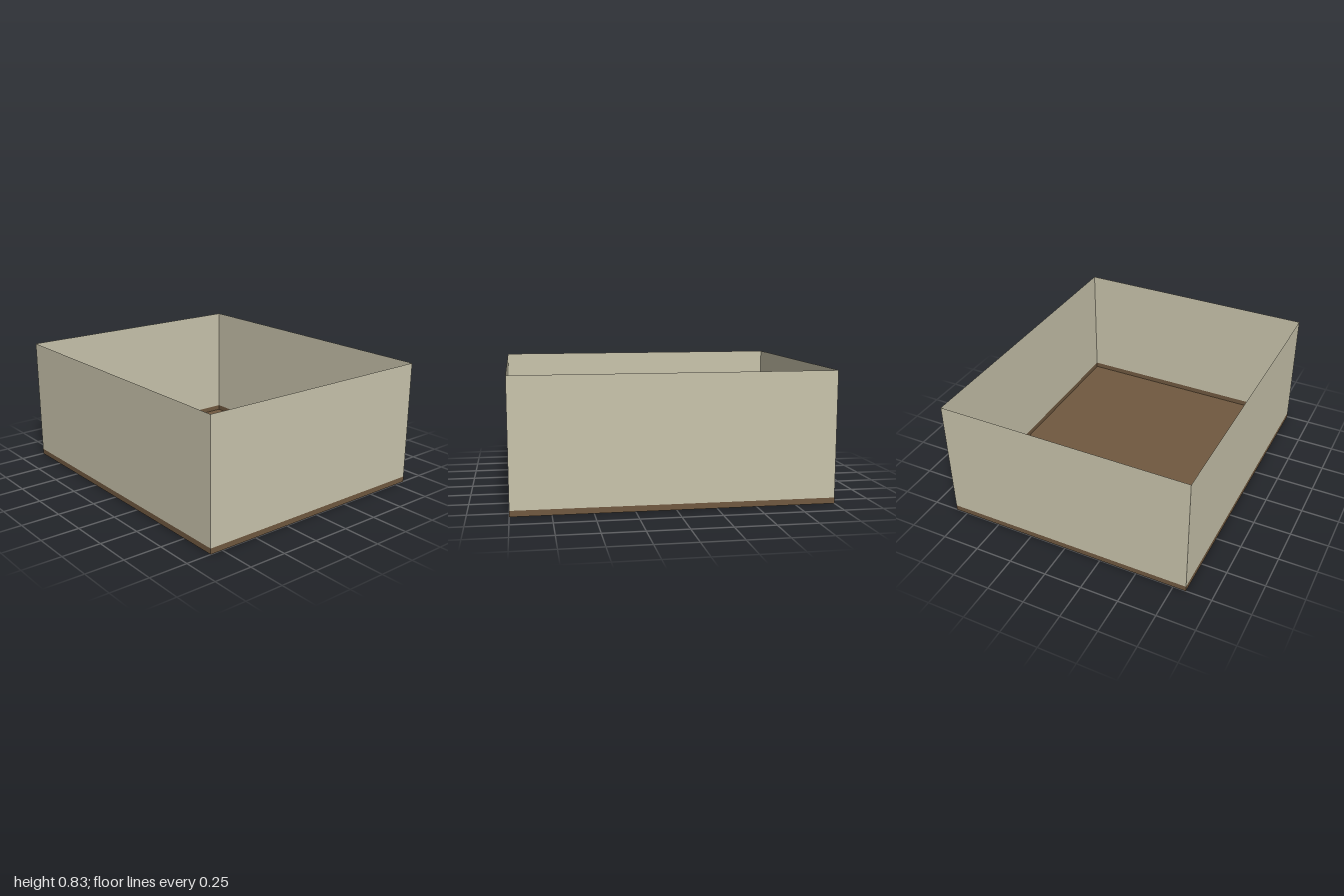
import * as THREE from 'three';

const WIDTH = 2, DEPTH = 1.666, HEIGHT = 0.833, SKIRT = 0.037;

export function createModel() {
  const plaster = new THREE.MeshStandardMaterial({ color: 0xc9c4ac, side: THREE.DoubleSide });
  plaster.name = 'plaster';
  const wood = new THREE.MeshStandardMaterial({ color: 0x705940, side: THREE.DoubleSide });
  wood.name = 'wood';

  const room = new THREE.Group();
  room.name = 'openRoom';

  // Floor sheet
  const floor = new THREE.Mesh(new THREE.PlaneGeometry(WIDTH, DEPTH), wood);
  floor.name = 'floor';
  floor.rotation.x = -Math.PI / 2;
  room.add(floor);

  // One thin side: a wooden skirting strip with the plain wall above it
  function addSide(name, length, distance, angle) {
    const side = new THREE.Group();
    side.name = name;
    const strips = [
      ['skirting', 0, SKIRT, wood],
      ['wall', SKIRT, HEIGHT, plaster],
    ];
    for (const [part, bottom, top, material] of strips) {
      const mesh = new THREE.Mesh(new THREE.PlaneGeometry(length, top - bottom), material);
      mesh.name = part;
      mesh.position.set(0, (bottom + top) / 2, distance);
      side.add(mesh);
    }
    side.rotation.y = angle;
    room.add(side);
  }

  addSide('frontSide', WIDTH, DEPTH / 2, 0);
  addSide('leftSide', DEPTH, WIDTH / 2, Math.PI / 2);
  addSide('backSide', WIDTH, DEPTH / 2, Math.PI);
  addSide('rightSide', DEPTH, WIDTH / 2, -Math.PI / 2);

  return room;
}
